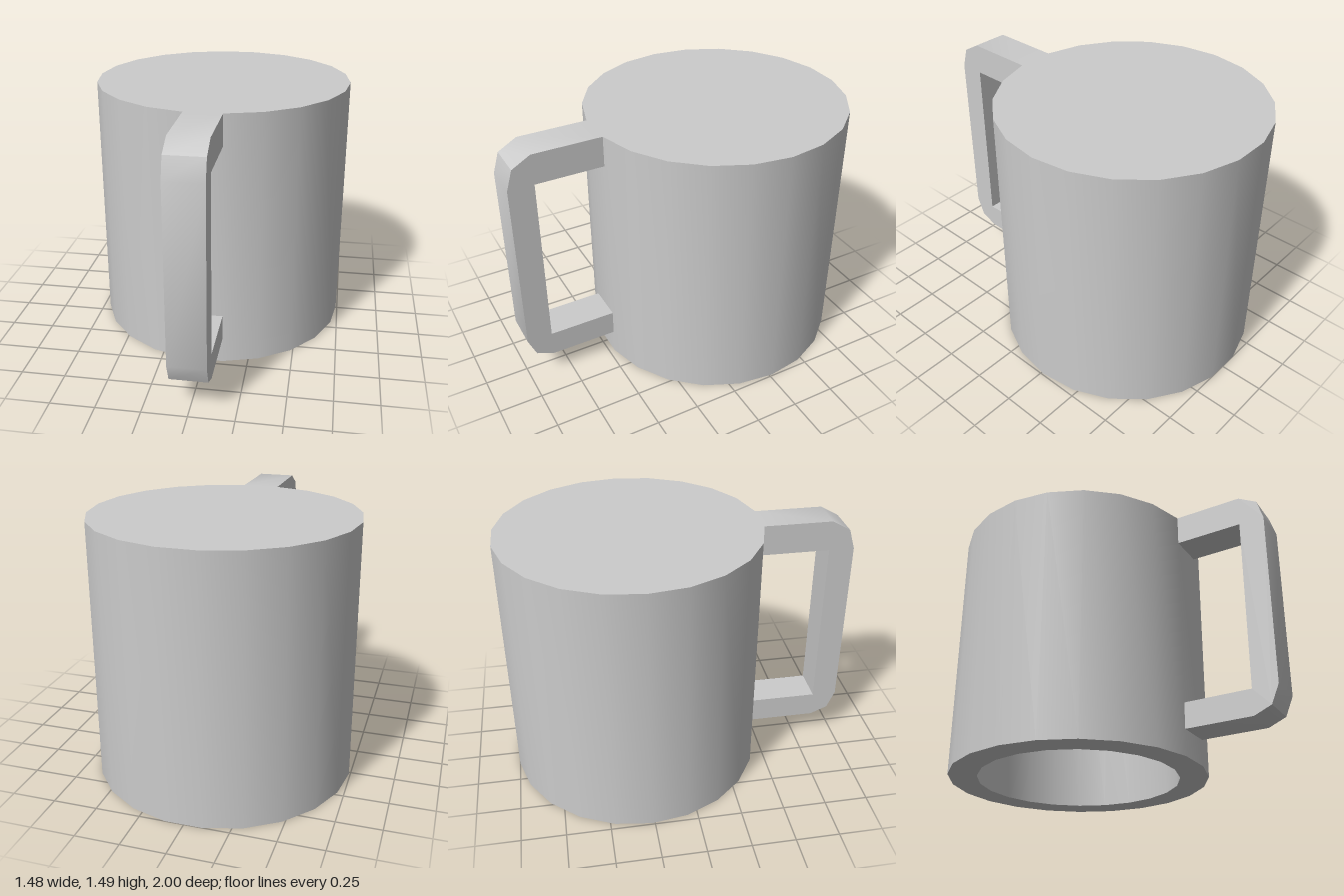
import * as THREE from 'three';
import { toCreasedNormals } from 'three/addons/utils/BufferGeometryUtils.js';

const SIDES = 22;
const RADIUS = 0.742;
const INNER_RADIUS = 0.58;
const HEIGHT = 1.485;
const CEILING = 1.33;
const CENTRE_Z = -0.266;
const FACET_Z = CENTRE_Z + RADIUS * Math.cos(Math.PI / SIDES);
const HANDLE_WIDTH = 0.21;
const CREASE = 0.6;

const toPoints = (list) => list.map(([a, b]) => new THREE.Vector2(a, b));

export function createModel() {
  const model = new THREE.Group();
  const material = new THREE.MeshStandardMaterial({ color: 0xcccccc });

  const addPart = (name, geometry) => {
    const mesh = new THREE.Mesh(toCreasedNormals(geometry, CREASE), material);
    mesh.name = name;
    model.add(mesh);
  };

  // Cup body: thick wall, closed on top and hollow from below
  const wall = toPoints([
    [0, CEILING], [INNER_RADIUS, CEILING], [INNER_RADIUS, 0],
    [RADIUS, 0], [RADIUS, HEIGHT], [0, HEIGHT],
  ]);
  const body = new THREE.LatheGeometry(wall, SIDES, Math.PI / SIDES);
  body.translate(0, 0, CENTRE_Z);
  addPart('cupBody', body);

  // Handle: squared C with bevelled outer corners, drawn as (z, y), as wide as one facet
  const outline = new THREE.Shape(toPoints([
    [FACET_Z, 0.15], [0.855, 0.15], [0.955, 0.193], [1, 0.3],
    [1, 1.31], [0.965, 1.425], [0.86, HEIGHT], [FACET_Z, HEIGHT],
    [FACET_Z, 1.31], [0.855, 1.31], [0.855, 0.3], [FACET_Z, 0.3],
  ]));
  const handle = new THREE.ExtrudeGeometry(outline, { depth: HANDLE_WIDTH, bevelEnabled: false });
  handle.rotateY(-Math.PI / 2);
  handle.translate(HANDLE_WIDTH / 2, 0, 0);
  addPart('handle', handle);

  return model;
}
